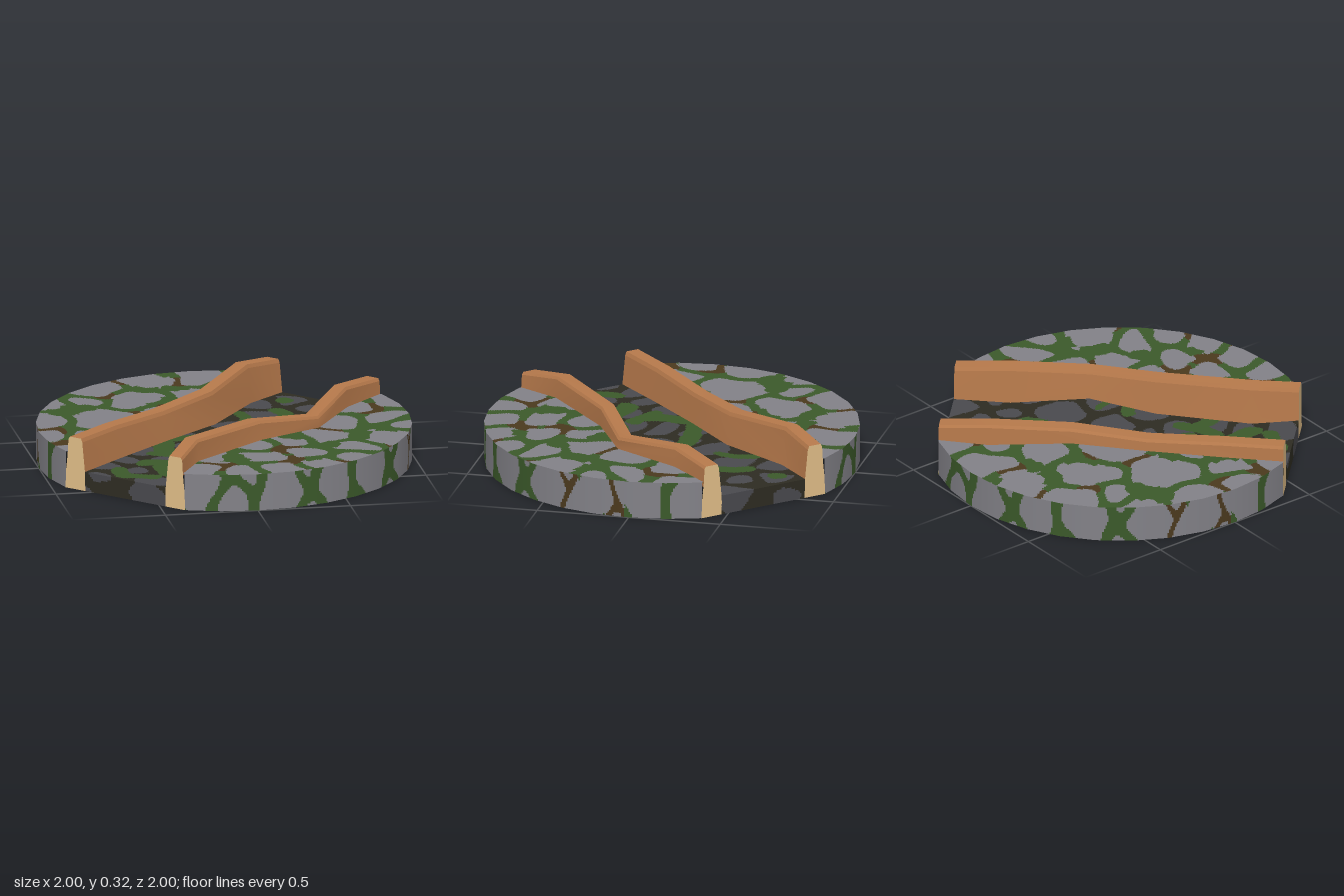
import * as THREE from 'three';

const mat = (name, color) => new THREE.MeshStandardMaterial({ name, color, side: THREE.DoubleSide });

// Lists in hundredths, cut into rows of n
const rows = (n, list) => {
  const out = [];
  for (let i = 0; i < list.length; i += n) out.push(list.slice(i, i + n).map((v) => v / 100));
  return out;
};

// Stones: x, z, radius
const BANK_STONES = rows(3, [
  -58, -73, 15, -24, -85, 13, 4, -85, 14, 31, -90, 10, -39, -50, 16, -5, -57, 11, -88, -53, 14, -65, -54, 11,
  -92, -22, 13, -62, -19, 18, -27, -25, 14, -93, 10, 11, -80, 15, 13, -85, 30, 9, 14, -72, 9, -56, 9, 8,
  73, -18, 15, 89, -23, 11, 62, 9, 13, 83, 6, 14, 49, 38, 13, 30, 43, 11, 9, 49, 11, 59, 56, 13, 81, 42, 14,
  91, 17, 10, 33, 65, 13, 9, 67, 15, -18, 65, 12, -26, 86, 12, -7, 91, 12, 14, 88, 13, 38, 83, 13, 54, 74, 11]);
const BANK_MOSS = rows(3, [-24, -45, 10, -29, -72, 8, -80, -38, 10, -69, -38, 8, -66, 17, 10, -13, -69, 7, -18, -95, 5,
  -7, 68, 9, 30, 32, 6, 67, 36, 8, 49, 51, 6, 81, 32, 6, 35, 77, 5, 73, -3, 5, -48, -4, 7]);
const BANK_SOIL = rows(3, [-45, -22, 9, 31, -77, 9, -10, -81, 9, -22, -35, 7, -93, 0, 9, 17, 98, 10, -18, 81, 10,
  25, 56, 9, 80, -13, 10, 83, 57, 7, 51, 24, 9, -90, 24, 8, 48, 88, 8, -52, -62, 6, 22, 76, 8, -42, -88, 7]);
const BED_STONES = rows(3, [
  -14, 9, 13, 11, 4, 15, -18, 25, 12, 9, 22, 11, 38, -10, 17, 33, -40, 14, 57, -48, 12, 11, -21, 12, 46, -64, 10,
  57, -34, 11, 70, -48, 11, 30, 11, 12, -37, 33, 12, -53, 49, 9, -40, 54, 12, -72, 38, 12, -61, 27, 11,
  -45, 17, 10, -26, 46, 10, -48, 67, 11, -77, 49, 8, -13, -5, 10, 1, -10, 9, 57, -13, 10, 54, 3, 9,
  33, -61, 10, 67, -32, 10]);
// Moss ribbons in the bed: start x, z, end x, z, half width
const BED_MOSS = rows(5, [-34, 1, -33, 20, 6, -26, -5, -10, -10, 4.5, -10, -10, 6, -7, 5, 18, -48, 17, -31, 3.5,
  38, -51, 42, -32, 4.5, 42, -32, 34, -25, 4, 44, -68, 45, -66, 4.5, -50, 35, -32, 39, 5, -32, 39, -13, 32, 4.5,
  -40, 39, -42, 57, 5, -64, 46, -65, 59, 4.5, -65, 59, -50, 62, 4.5, -18, 38, -19, 47, 4, 14, 18, 18, 20, 4,
  29, 7, 30, 15, 2, -40, 20, -26, 26, 4.5]);
// Wall stones: arc position, height, radius
const WALL_STONES = rows(3, [9, 13, 10, 27, 6, 9, 52, 11, 14, 84, 9, 13, 112, 11, 14, 146, 12, 13, 174, 8, 13,
  203, 11, 13, 226, 7, 10, 35, 18, 7, 68, 18, 5, 70, 1, 5, 98, 1, 4, 130, 1, 5, 130, 20, 4, 160, 20, 4, 189, 1, 4]);

// Rail nodes: distance along the channel, offset across it, top height
const RAILS = [
  { name: 'leftRail', side: 1, nodes: [[-0.924, 0.322, 0.285], [-0.68, 0.255, 0.317], [-0.16, 0.3, 0.305],
    [0.21, 0.42, 0.262], [0.62, 0.32, 0.308], [0.924, 0.322, 0.285]] },
  { name: 'rightRail', side: -1, nodes: [[-0.924, -0.322, 0.285], [-0.6, -0.317, 0.283], [-0.19, -0.3, 0.265],
    [0.22, -0.268, 0.283], [0.66, -0.342, 0.315], [0.924, -0.322, 0.285]] },
];
const BED_Y = 0.105, TOP_Y = 0.2, END = 0.924;

// Channel coordinates (along, height, across) to model space
const place = (s, y, t) => new THREE.Vector3((s + t) * Math.SQRT1_2, y, (t - s) * Math.SQRT1_2);

function railCentre(nodes, s) {
  for (let i = 1; i < nodes.length; i++) {
    const [a, b] = [nodes[i - 1], nodes[i]];
    if (s <= b[0] || i === nodes.length - 1) return a[1] + (b[1] - a[1]) * (s - a[0]) / (b[0] - a[0]);
  }
}

// Cells with rounded corners around the sites: true inside a stone, false in the joints
function inStone(sites, x, z, gap, reach = 0.05) {
  const f = sites.map(([a, b, r]) => Math.hypot(x - a, z - b) - r);
  const nearest = Math.min(...f), k = 0.025;
  const others = f.reduce((sum, v) => sum + Math.exp((nearest - v) / k), 0) - 1;
  return nearest < reach && -k * Math.log(others) > gap;
}

const wobble = (x, z) => [x + 0.012 * Math.sin(23 * z + 5 * x), z + 0.012 * Math.sin(21 * x - 7 * z)];
const inSpot = (spots, x, z) => spots.some(([a, b, r]) => Math.hypot(x - a, z - b) < r);

// Colour rules: 0 stone, 1 moss, 2 soil
function bankColour(x, z) {
  [x, z] = wobble(x, z);
  const soil = inSpot(BANK_SOIL, x, z);
  const gap = soil ? 0.035 : inSpot(BANK_MOSS, x, z) ? 0.11 : 0.05;
  return inStone(BANK_STONES, x, z, gap) ? 0 : soil ? 2 : 1;
}
const bedStoneColour = (x, z) => (inStone(BED_STONES, ...wobble(x, z), 0.045, 0.02) ? 0 : 2);
function bedColour(x, z) {
  const [wx, wz] = wobble(x, z);
  const moss = BED_MOSS.some(([ax, az, bx, bz, r]) => {
    const dx = bx - ax, dz = bz - az;
    const k = THREE.MathUtils.clamp(((wx - ax) * dx + (wz - az) * dz) / (dx * dx + dz * dz), 0, 1);
    return Math.hypot(wx - ax - k * dx, wz - az - k * dz) < r;
  });
  return moss ? 1 : bedStoneColour(x, z);
}
function wallColour(arc, y) {
  const [a, h] = wobble(arc, y);
  const soil = Math.abs(a - 1.6) < 0.07 || Math.abs(a - 1.88) < 0.05;
  return inStone(WALL_STONES, a, h, soil ? 0.025 : 0.05) ? 0 : soil ? 2 : 1;
}

// Fine grid surface whose quads are sorted into one group per colour
function sheet(name, nu, nv, point, colour, materials) {
  const pos = [], buckets = materials.map(() => []);
  for (let i = 0; i <= nu; i++) for (let j = 0; j <= nv; j++) pos.push(...point(i / nu, j / nv).toArray());
  for (let i = 0; i < nu; i++) for (let j = 0; j < nv; j++) {
    const a = i * (nv + 1) + j, b = a + nv + 1;
    const u = (i + 0.5) / nu, v = (j + 0.5) / nv;
    buckets[colour(point(u, v), u)].push(a, a + 1, b, b, a + 1, b + 1);
  }
  const geo = new THREE.BufferGeometry();
  geo.setAttribute('position', new THREE.Float32BufferAttribute(pos, 3));
  geo.setIndex(buckets.flat());
  let start = 0;
  buckets.forEach((b, k) => { geo.addGroup(start, b.length, k); start += b.length; });
  geo.computeVertexNormals();
  const mesh = new THREE.Mesh(geo, materials);
  mesh.name = name;
  return mesh;
}

// Rail cross-section: outward offset and height, from bank over the top to the bed
const railProfile = (h) => [[0.05, TOP_Y - 0.01], [0.045, h - 0.015], [0.036, h], [-0.036, h],
  [-0.044, h - 0.02], [-0.062, BED_Y - 0.005]];

// Point on the 32-sided rim, u from one end of a bank to the other
function rim(u, side) {
  const k = Math.min(11, Math.floor(u * 12 + 1e-9)), f = u * 12 - k;
  const at = (n) => { const a = Math.PI * (0.875 - n / 16); return [Math.cos(a), Math.sin(a)]; };
  const [p, q] = [at(k), at(k + 1)];
  return [p[0] + (q[0] - p[0]) * f, side * (p[1] + (q[1] - p[1]) * f)];
}

function buildRail({ name, side, nodes }, wood, endGrain) {
  const group = new THREE.Group();
  group.name = name;
  // Strips are smooth along the rail and sharp between each other
  const pos = [], index = [];
  for (let j = 0; j < 5; j++) nodes.forEach(([s, t, h], i) => {
    const a = pos.length / 3, profile = railProfile(h);
    for (const [o, y] of [profile[j], profile[j + 1]]) pos.push(...place(s, y, t + side * o).toArray());
    if (i < nodes.length - 1) {
      index.push(...(side > 0 ? [a, a + 2, a + 3, a, a + 3, a + 1] : [a, a + 3, a + 2, a, a + 1, a + 3]));
    }
  });
  const geo = new THREE.BufferGeometry();
  geo.setAttribute('position', new THREE.Float32BufferAttribute(pos, 3));
  geo.setIndex(index);
  geo.computeVertexNormals();
  const beam = new THREE.Mesh(geo, wood);
  beam.name = 'beam';
  group.add(beam);
  // End posts reaching the ground
  for (const [s, t, h] of [nodes[0], nodes[nodes.length - 1]]) {
    const outline = [[0.064, 0], [0.06, 0.1], ...railProfile(h), [-0.064, 0]];
    const cap = new THREE.ShapeGeometry(new THREE.Shape(outline.map(([o, y]) => new THREE.Vector2(t + side * o, y))));
    const p = cap.attributes.position;
    for (let i = 0; i < p.count; i++) p.setXYZ(i, ...place(s, p.getY(i), p.getX(i)).toArray());
    cap.computeVertexNormals();
    const mesh = new THREE.Mesh(cap, endGrain);
    mesh.name = 'endPost';
    group.add(mesh);
  }
  return group;
}

export function createModel() {
  const model = new THREE.Group();
  model.name = 'stoneDiscWithChannel';
  const moss = mat('moss', 0x3b592a);
  const bankMats = [mat('stone', 0x828187), moss, mat('soil', 0x4b391e)];
  const bedMats = [mat('darkStone', 0x49494e), moss, mat('darkSoil', 0x2e2c22)];
  const wood = mat('wood', 0xb6794b), endGrain = mat('endGrain', 0xe2bf89);
  const [left, right] = RAILS;

  for (const rail of RAILS) {
    const { side, nodes } = rail;
    // Stone bank and its outer wall, open underneath
    model.add(sheet('bankTop', 276, 72, (u, v) => {
      const [s, t] = rim(u, side);
      const inner = railCentre(nodes, s) + side * 0.046;
      return place(s, TOP_Y, inner + (t - inner) * v);
    }, (p) => bankColour(p.x, p.z), bankMats));
    const wall = sheet('bankWall', 276, 20, (u, v) => {
      const [s, t] = rim(u, side);
      return place(s, TOP_Y * (side > 0 ? 1 - v : v), t);
    }, (p, u) => wallColour((side > 0 ? u : 1 - u) * 2.356, p.y), bankMats);
    // Round shading on the wall
    const { position, normal } = wall.geometry.attributes;
    for (let i = 0; i < position.count; i++) {
      const r = Math.hypot(position.getX(i), position.getZ(i));
      normal.setXYZ(i, position.getX(i) / r, 0, position.getZ(i) / r);
    }
    model.add(wall, buildRail(rail, wood, endGrain));
  }

  // Sunken channel bed
  model.add(sheet('channelBed', 200, 64, (u, v) => {
    const s = (u * 2 - 1) * END;
    const a = railCentre(right.nodes, s) + 0.06, b = railCentre(left.nodes, s) - 0.06;
    return place(s, BED_Y, a + (b - a) * v);
  }, (p) => bedColour(p.x, p.z), bedMats));

  // Low walls closing the channel ends
  for (const e of [-1, 1]) {
    model.add(sheet('channelEnd', 50, 10, (u, v) => place(e * END, BED_Y * v, (u * 2 - 1) * 0.26),
      (p) => bedStoneColour(p.x - e * (BED_Y - p.y) * 0.7, p.z + e * (BED_Y - p.y) * 0.7), bedMats));
  }
  return model;
}
